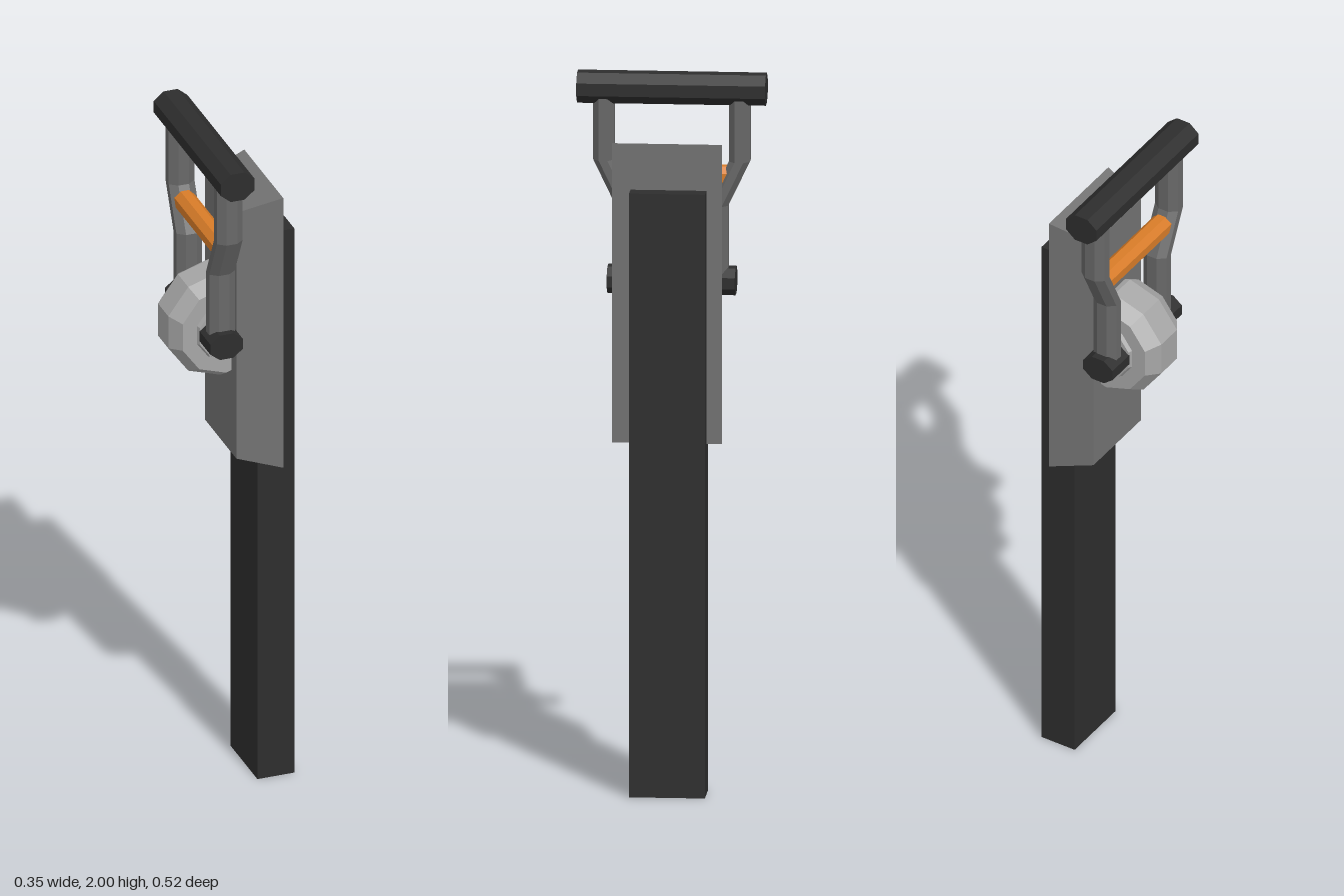
import * as THREE from 'three';

const mat = (name, color) => {
  const m = new THREE.MeshStandardMaterial({ color });
  m.name = name;
  return m;
};

// faceted normals
const facet = (geo) => {
  const g = geo.index ? geo.toNonIndexed() : geo;
  g.computeVertexNormals();
  return g;
};

// applies a rule to every vertex
const reshape = (geo, rule) => {
  const p = geo.attributes.position;
  const v = new THREE.Vector3();
  for (let i = 0; i < p.count; i++) {
    rule(v.fromBufferAttribute(p, i));
    p.setXYZ(i, v.x, v.y, v.z);
  }
  return geo;
};

// eight-sided bar along z, given half width and half height
const FLAT = Math.cos(Math.PI / 8);
const bar = (hx, hy, length) =>
  new THREE.CylinderGeometry(1, 1, length, 8)
    .rotateY(Math.PI / 8)
    .rotateX(Math.PI / 2)
    .scale(hx / FLAT, hy / FLAT, 1);

export function createModel() {
  const group = new THREE.Group();
  const black = mat('black', 0x2d2d2d);
  const grey = mat('plate grey', 0x727272);
  const armGrey = mat('arm grey', 0x686868);
  const steel = mat('light steel', 0xa6a6a6);
  const orange = mat('orange', 0xd87c28);

  const add = (name, geo, material, x = 0, y = 0, z = 0) => {
    const mesh = new THREE.Mesh(facet(geo), material);
    mesh.name = name;
    mesh.position.set(x, y, z);
    group.add(mesh);
  };

  // long upright post
  add('post', new THREE.BoxGeometry(0.109, 1.705, 0.21), black, 0.1195, 0.8525, -0.004);

  // mounting plate, tapering away from the post
  add('mountingPlate', reshape(new THREE.BoxGeometry(0.127, 1, 1), (v) => {
    const outer = v.x > 0;
    v.y *= outer ? 0.845 : 0.77;
    v.z *= outer ? 0.304 : 0.244;
  }), grey, 0.0585, 1.413, 0);

  // ten-sided wheel with bevelled rim and raised hub
  const half = [[0.162, 0.04], [0.134, 0.083], [0.09, 0.083], [0.085, 0.094], [0, 0.094]];
  const profile = [
    ...half.slice().reverse().map(([r, h]) => new THREE.Vector2(r, -h)),
    ...half.map(([r, h]) => new THREE.Vector2(r, h)),
  ];
  add('wheel', new THREE.LatheGeometry(profile, 10).rotateX(Math.PI / 2), steel, -0.021, 1.415, 0);

  // axle, spacer and hand grip
  add('axle', bar(0.048, 0.038, 0.355), black, -0.055, 1.416, 0);
  add('crossBar', bar(0.03, 0.03, 0.32), orange, -0.054, 1.71, 0);
  add('grip', bar(0.05, 0.0425, 0.523), black, -0.054, 1.9575, 0);

  // cranked arms: [height, sideways offset] at each section
  const path = [[1.4, 0.128], [1.63, 0.128], [1.755, 0.188], [1.94, 0.188]];
  for (const side of [1, -1]) {
    const geo = new THREE.CylinderGeometry(1, 1, 3, 8, 3)
      .rotateY(Math.PI / 8)
      .scale(0.038 / FLAT, 1, 0.029 / FLAT);
    reshape(geo, (v) => {
      const [y, z] = path[Math.round(v.y + 1.5)];
      v.y = y;
      v.z += side * z;
    });
    add(side > 0 ? 'frontArm' : 'backArm', geo, armGrey, -0.054, 0, 0);
  }

  return group;
}
